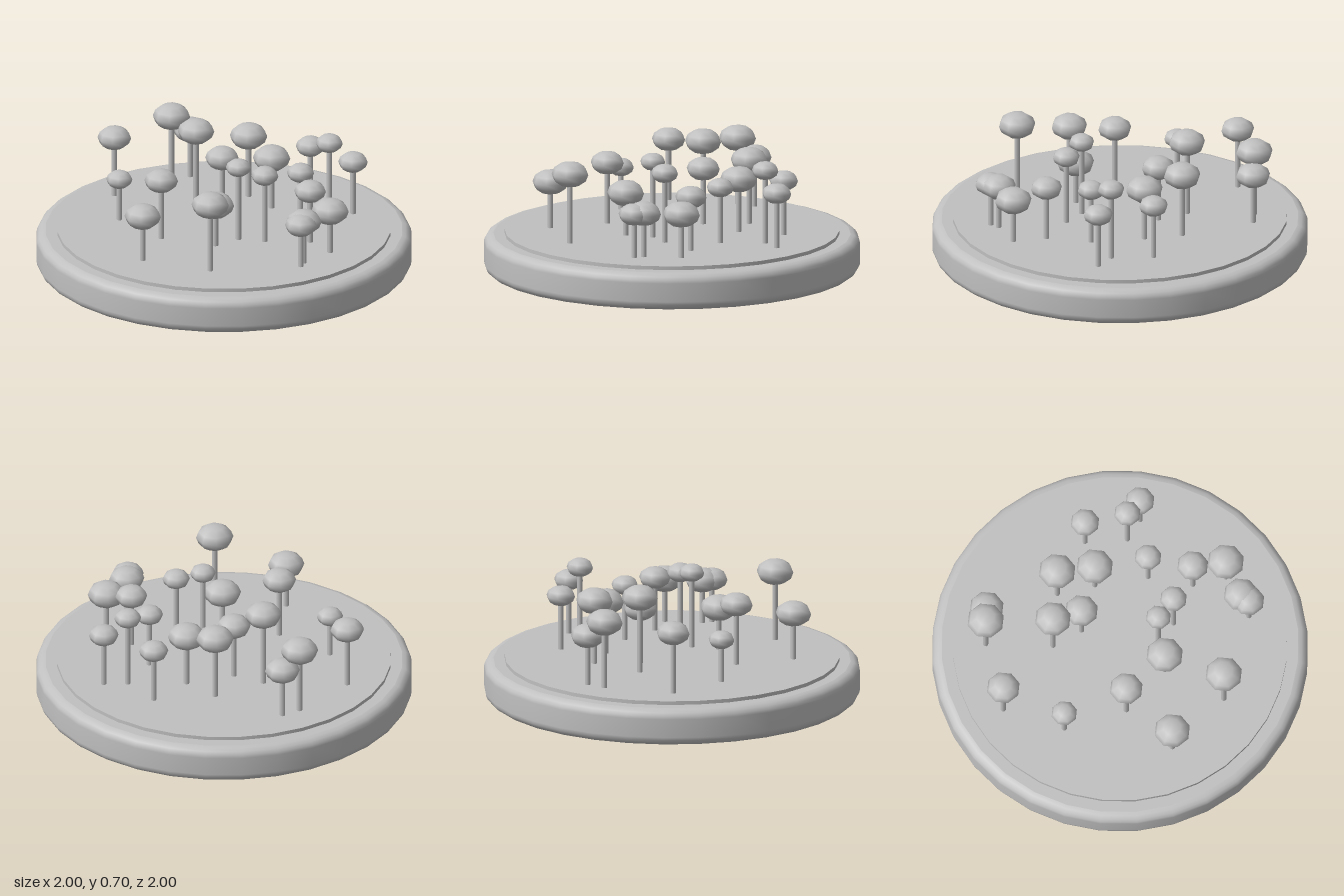
import * as THREE from 'three';

const grey = new THREE.MeshStandardMaterial({ color: 0xc0c0c0 });
grey.name = 'grey';

// Tree list: x, z, crown centre height, crown radius
const trees = [
  [-0.18, -0.70, 0.55, 0.09], [0.20, -0.685, 0.58, 0.10], [0.30, -0.65, 0.49, 0.093],
  [-0.375, -0.42, 0.45, 0.07], [0.09, -0.345, 0.63, 0.098], [0.13, -0.175, 0.52, 0.09],
  [0.365, -0.24, 0.565, 0.10], [-0.37, -0.075, 0.55, 0.09], [0.355, -0.035, 0.505, 0.10],
  [0.605, -0.015, 0.515, 0.078], [-0.64, 0.10, 0.47, 0.097], [-0.21, 0.185, 0.45, 0.10],
  [-0.06, 0.195, 0.63, 0.068], [0.03, 0.305, 0.595, 0.073], [0.32, 0.25, 0.52, 0.073],
  [0.555, 0.205, 0.615, 0.072], [0.64, 0.30, 0.515, 0.079], [-0.455, 0.44, 0.595, 0.10],
  [0.21, 0.465, 0.51, 0.085], [0.20, 0.645, 0.455, 0.10], [0, 0.67, 0.455, 0.094],
  [-0.045, 0.70, 0.455, 0.085],
];

const GROUND = 0.22;

function addMesh(parent, name, geometry, x = 0, y = 0, z = 0) {
  const mesh = new THREE.Mesh(geometry, grey);
  mesh.name = name;
  mesh.position.set(x, y, z);
  parent.add(mesh);
  return mesh;
}

export function createModel() {
  const model = new THREE.Group();
  model.name = 'treeDisc';

  // Thick disc with softly rounded edges
  const profile = [
    [0, 0], [0.949, 0], [0.95, 0], [0.97, 0.005], [0.987, 0.017], [0.997, 0.033], [1, 0.05],
    [1, 0.15], [0.997, 0.167], [0.987, 0.183], [0.97, 0.195], [0.95, 0.2], [0.949, 0.2], [0, 0.2],
  ].map(([r, y]) => new THREE.Vector2(r, y));
  addMesh(model, 'base', new THREE.LatheGeometry(profile, 32));

  // Thin raised ground plate
  addMesh(model, 'groundPlate', new THREE.CylinderGeometry(0.89, 0.89, 0.03, 32), 0, GROUND - 0.015, 0);

  // Round-topped trees on slim trunks
  trees.forEach(([x, z, y, r]) => {
    const tree = new THREE.Group();
    tree.name = 'tree';
    tree.position.set(x, 0, z);
    const h = y - GROUND;
    addMesh(tree, 'trunk', new THREE.CylinderGeometry(0.015, 0.015, h, 8), 0, GROUND + h / 2, 0);
    addMesh(tree, 'crown', new THREE.SphereGeometry(r, 8, 6), 0, y, 0).scale.y = 0.69;
    model.add(tree);
  });

  return model;
}
